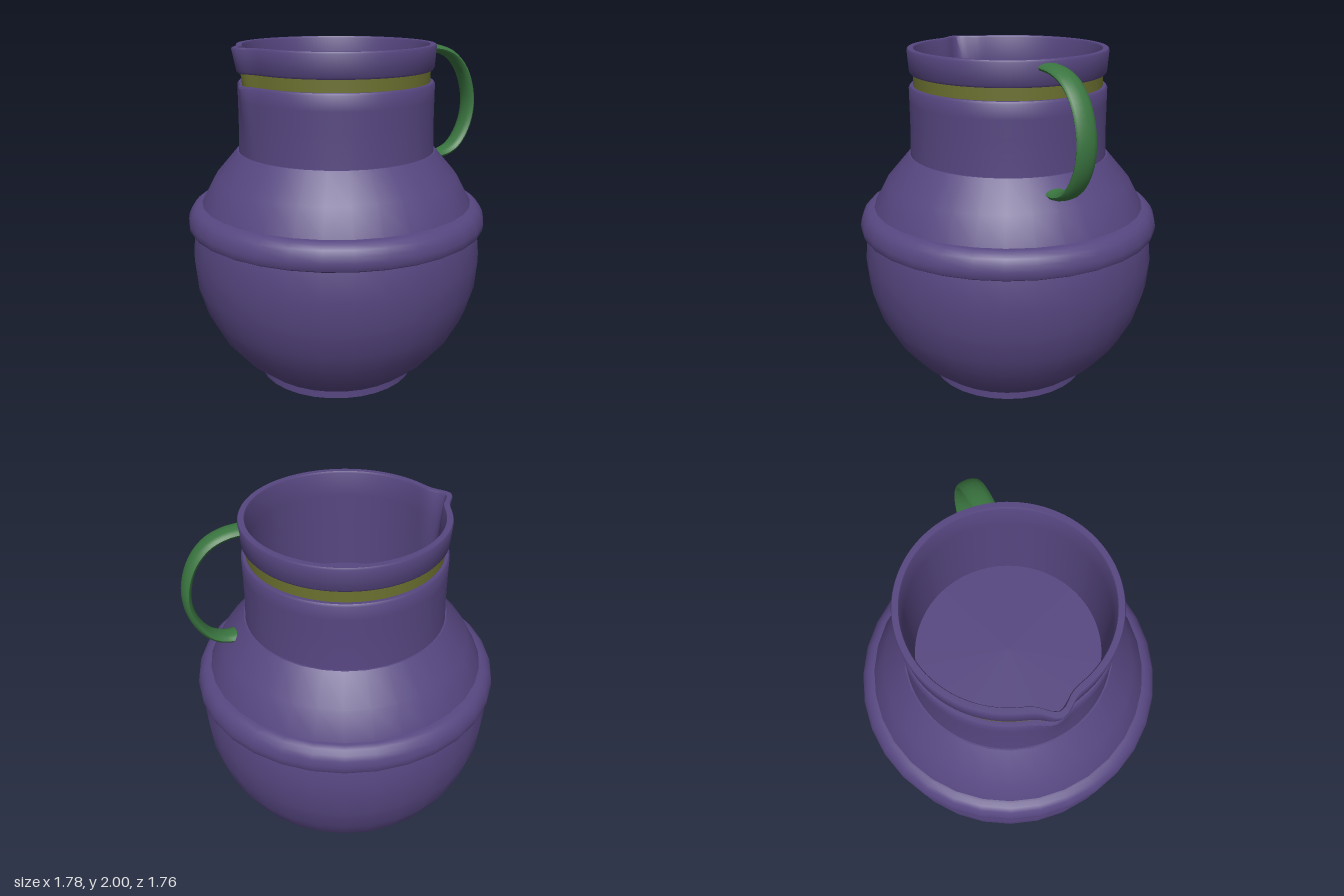
import * as THREE from 'three';
import { toCreasedNormals } from 'three/addons/utils/BufferGeometryUtils.js';

const CENTRE_X = -0.012;
const purple = new THREE.MeshStandardMaterial({ color: 0x564680, side: THREE.DoubleSide });
const olive = new THREE.MeshStandardMaterial({ color: 0x6b702f, side: THREE.DoubleSide });
const green = new THREE.MeshStandardMaterial({ color: 0x3a7540, side: THREE.DoubleSide });

// Turned shape from [radius, height] pairs listed from bottom to top on the outside
function turned(profile, segments) {
  return new THREE.LatheGeometry(profile.map(([r, y]) => new THREE.Vector2(r, y)), segments);
}

// Pushes the wall outwards on the -x side, more and more towards the rim
function pullSpout(geometry) {
  const p = geometry.attributes.position;
  for (let i = 0; i < p.count; i++) {
    const x = p.getX(i), y = p.getY(i), z = p.getZ(i);
    const r = Math.hypot(x, z);
    if (r < 0.1) continue;
    const angle = Math.atan2(z, -x);
    const rise = Math.max(0, (y - 1.4) / 0.6) ** 1.5;
    const k = 1 + (0.066 * rise * Math.exp(-((angle / 0.13) ** 2))) / r;
    p.setXYZ(i, x * k, y, z * k);
  }
  return geometry;
}

function part(name, geometry, material, crease = 0.6) {
  const mesh = new THREE.Mesh(toCreasedNormals(geometry, crease), material);
  mesh.name = name;
  return mesh;
}

export function createModel() {
  const group = new THREE.Group();
  group.name = 'jug';
  const vessel = new THREE.Group();
  vessel.name = 'vessel';
  vessel.position.x = CENTRE_X;
  group.add(vessel);

  // Foot
  vessel.add(part('foot', turned([[0, 0], [0.477, 0], [0.477, 0.055]], 32), purple));

  // Round belly, closed by the floor inside the neck
  const belly = [];
  for (const y of [0.05, 0.15, 0.28, 0.43, 0.6, 0.77, 0.93, 1.09, 1.24, 1.395]) {
    belly.push([Math.sqrt(0.862 ** 2 - (y - 0.76) ** 2), y]);
  }
  belly.push([0, 1.395]);
  vessel.add(part('belly', turned(belly, 32), purple));

  // Rounded ring around the widest part
  vessel.add(part('shoulderRing', turned([
    [0.83, 0.935], [0.855, 0.935], [0.872, 0.945], [0.88, 0.965], [0.88, 0.99], [0.873, 1.025],
    [0.858, 1.055], [0.836, 1.077], [0.81, 1.088], [0.78, 1.09],
  ], 32), purple));

  // Neck, groove band and rim share the same spout
  vessel.add(part('neck', pullSpout(turned([
    [0.572, 1.395], [0.567, 1.5], [0.566, 1.6], [0.566, 1.7], [0.566, 1.78], [0.558, 1.792], [0.535, 1.792],
  ], 128)), purple));
  vessel.add(part('grooveBand', pullSpout(turned([[0.54, 1.785], [0.54, 1.865]], 128)), olive));
  vessel.add(part('rim', pullSpout(turned([
    [0.535, 1.86], [0.552, 1.86], [0.561, 1.872], [0.57, 1.99], [0.565, 2],
    [0.534, 2], [0.529, 1.99], [0.527, 1.85], [0.525, 1.7], [0.523, 1.55], [0.52, 1.395],
  ], 128)), purple));

  // Strap handle with a flat oval section
  const path = new THREE.CatmullRomCurve3([
    [0.53, 1.96], [0.62, 1.95], [0.72, 1.908], [0.81, 1.805], [0.86, 1.63],
    [0.835, 1.475], [0.755, 1.355], [0.66, 1.313], [0.61, 1.315],
  ].map(([x, y]) => new THREE.Vector3(x, y, 0)));
  const strap = new THREE.TubeGeometry(path, 28, 0.025, 12, false);
  strap.scale(1, 1, 2.5);
  const handle = part('handle', strap, green, 0.9);
  handle.position.z = 0.11;
  group.add(handle);

  return group;
}
